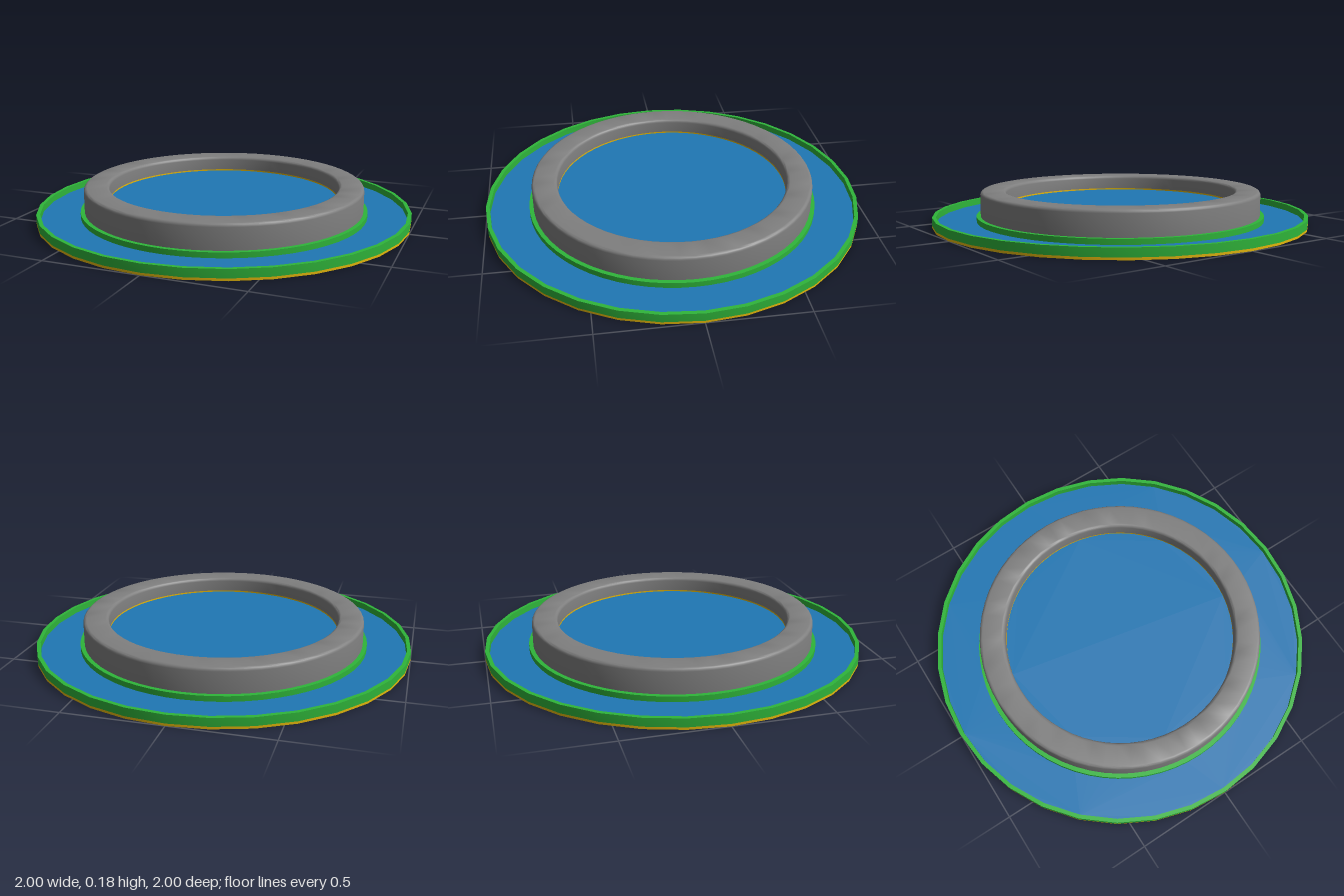
import * as THREE from 'three';
import { toCreasedNormals } from 'three/addons/utils/BufferGeometryUtils.js';

const RIM_SIDES = 32;
const RING_SIDES = 64;
const GREEN = 0x2fb53a, BLUE = 0x1f77b4, YELLOW = 0xe5b80b, GREY = 0x7f7f7f;

function part(name, geometry, color) {
  const material = new THREE.MeshStandardMaterial({ color, side: THREE.DoubleSide });
  const mesh = new THREE.Mesh(geometry, material);
  mesh.name = name;
  return mesh;
}

// Thin sheet turned around y from [radius, height] points
function turned(name, profile, sides, color) {
  const points = profile.map(([r, y]) => new THREE.Vector2(r, y));
  const geometry = toCreasedNormals(new THREE.LatheGeometry(points, sides), 0.6);
  return part(name, geometry, color);
}

function circlePoints(radius, sides) {
  return Array.from({ length: sides }, (_, i) => {
    const a = (i / sides) * Math.PI * 2;
    return new THREE.Vector2(Math.cos(a) * radius, Math.sin(a) * radius);
  });
}

// Flat horizontal sheet, with an optional round hole
function flat(name, radius, sides, y, hole) {
  const shape = new THREE.Shape(circlePoints(radius, sides));
  if (hole) shape.holes.push(new THREE.Path(circlePoints(hole, RING_SIDES)));
  const geometry = new THREE.ShapeGeometry(shape);
  geometry.rotateX(-Math.PI / 2).translate(0, y, 0);
  return part(name, geometry, BLUE);
}

// Quarter-round corner from angle a0 to a0 + 90 degrees
function corner(cx, cy, radius, a0) {
  return Array.from({ length: 5 }, (_, i) => {
    const a = a0 + (i / 4) * Math.PI / 2;
    return [cx + Math.cos(a) * radius, cy + Math.sin(a) * radius];
  });
}

export function createModel() {
  const model = new THREE.Group();
  model.name = 'flangedRing';

  // Outer rim: yellow bottom edge, green wall and lip stepping down to the floor
  model.add(turned('rimBottomEdge', [[1, 0], [1, 0.012]], RIM_SIDES, YELLOW));
  model.add(turned('outerRim', [[1, 0.012], [1, 0.055], [0.98, 0.055], [0.98, 0.02]], RIM_SIDES, GREEN));

  // Recessed flange floor
  model.add(flat('flangeFloor', 0.98, RIM_SIDES, 0.02, 0.772));

  // Green step at the foot of the ring
  model.add(turned('ringFootStep', [[0.772, 0.02], [0.772, 0.048], [0.75, 0.048]], RING_SIDES, GREEN));

  // Hollow raised ring, open underneath, with rounded top edges
  const r = 0.018, top = 0.178;
  model.add(turned('raisedRing', [
    [0.75, 0.048],
    ...corner(0.75 - r, top - r, r, 0),
    ...corner(0.615 + r, top - r, r, Math.PI / 2),
    [0.615, 0.1],
  ], RING_SIDES, GREY));

  // Centre panel closing the ring, with its yellow edge
  model.add(turned('panelEdge', [[0.615, 0.1], [0.615, 0.092]], RING_SIDES, YELLOW));
  model.add(flat('centrePanel', 0.615, RING_SIDES, 0.092));

  return model;
}
